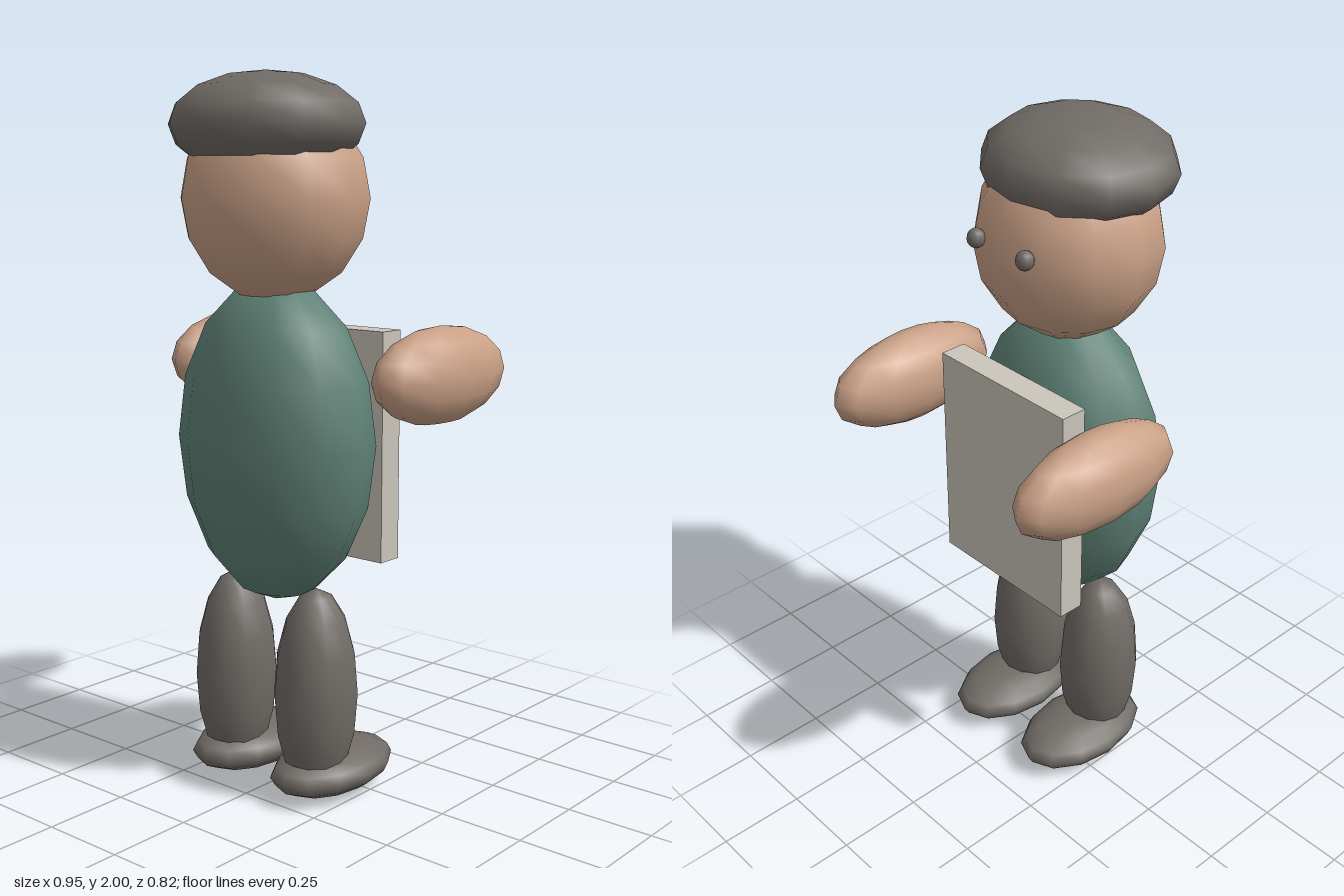
import * as THREE from 'three';

const paint = (name, color) => {
  const m = new THREE.MeshStandardMaterial({ color });
  m.name = name;
  return m;
};

export function createModel() {
  const skin = paint('skin', 0xc9a086);
  const shirt = paint('shirt green', 0x5f8277);
  const dark = paint('dark grey', 0x706b66);
  const card = paint('board grey', 0xcac6bb);

  const model = new THREE.Group();
  model.name = 'figure';
  const ball = new THREE.SphereGeometry(1, 12, 8);

  // Every body part is a stretched low-poly ball
  const ellipsoid = (name, material, position, radii) => {
    const mesh = new THREE.Mesh(ball.clone().scale(...radii), material);
    mesh.name = name;
    mesh.position.set(...position);
    model.add(mesh);
  };

  // Trunk, head and cap
  ellipsoid('body', shirt, [0, 1, 0.12], [0.31, 0.455, 0.22]);
  ellipsoid('head', skin, [0, 1.665, 0.121], [0.265, 0.28, 0.255]);
  ellipsoid('cap', dark, [0, 1.86, 0.155], [0.277, 0.14, 0.255]);

  // Paired parts
  for (const [side, s] of [['left', 1], ['right', -1]]) {
    ellipsoid(side + 'Eye', dark, [s * 0.093, 1.7, -0.122], [0.025, 0.027, 0.025]);
    ellipsoid(side + 'Arm', skin, [s * 0.372, 1.19, -0.136], [0.103, 0.135, 0.276]);
    ellipsoid(side + 'Leg', dark, [s * 0.151, 0.305, 0.124], [0.115, 0.3, 0.125]);
    ellipsoid(side + 'Foot', dark, [s * 0.151, 0.07, 0.052], [0.136, 0.068, 0.218]);
  }

  // Flat board held between the arms
  const board = new THREE.Mesh(new THREE.BoxGeometry(0.486, 0.65, 0.078), card);
  board.name = 'board';
  board.position.set(0, 0.98, -0.088);
  model.add(board);

  return model;
}
